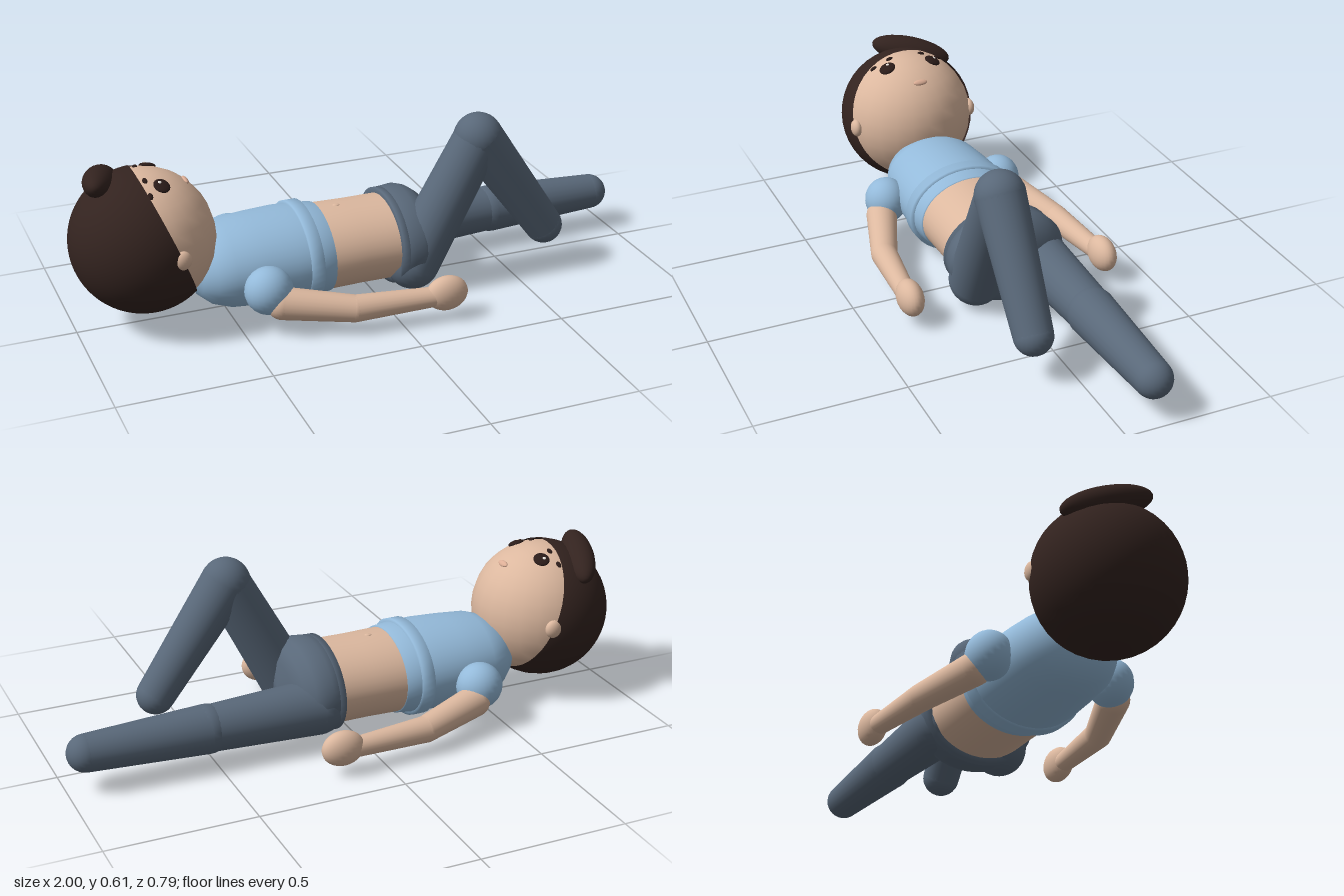
import * as THREE from 'three';

const material = (name, color) => {
  const m = new THREE.MeshStandardMaterial({ color });
  m.name = name;
  return m;
};
const UP = new THREE.Vector3(0, 1, 0);
const V = (x, y, z) => new THREE.Vector3(x, y, z);

export function createModel() {
  const skin = material('skin', 0xdcb89f);
  const shirt = material('shirt blue', 0x94bada);
  const denim = material('trouser blue', 0x596879);
  const hair = material('hair brown', 0x33231f);
  const dark = material('eye brown', 0x2b1c19);
  const lip = material('lip', 0xdcae96);
  const shine = material('eye shine', 0xf4efe8);
  const model = new THREE.Group();

  const add = (name, geometry, mat, parent = model) => {
    const mesh = new THREE.Mesh(geometry, mat);
    mesh.name = name;
    parent.add(mesh);
    return mesh;
  };
  // Ellipsoid whose local y axis can be pointed along a direction
  const blob = (name, pos, radii, mat, axis = UP, parent = model) => {
    const mesh = add(name, new THREE.SphereGeometry(1, 24, 16).scale(...radii), mat, parent);
    mesh.position.copy(pos);
    mesh.quaternion.setFromUnitVectors(UP, axis.clone().normalize());
    return mesh;
  };
  // Tapered segments with round joints, each joint being [point, radius]
  const limb = (name, joints, mat) => {
    const group = new THREE.Group();
    group.name = name;
    model.add(group);
    joints.forEach(([p, r], i) => {
      blob('joint', p, [r, r, r], mat, UP, group);
      if (!i) return;
      const [q, s] = joints[i - 1];
      const d = p.clone().sub(q);
      const seg = add('segment', new THREE.CylinderGeometry(r, s, d.length(), 24, 1, true), mat, group);
      seg.position.copy(p).add(q).multiplyScalar(0.5);
      seg.quaternion.setFromUnitVectors(UP, d.normalize());
    });
  };
  // Body section swept along x, elliptical; points are [scale, x]
  const body = (name, points, mat) => {
    const geo = new THREE.LatheGeometry(points.map(([r, x]) => new THREE.Vector2(r, x)), 40);
    geo.rotateZ(-Math.PI / 2).scale(1, 0.15, 0.19);
    add(name, geo, mat).position.y = 0.17;
  };

  // Torso and clothes
  body('shirt', [[0, -0.63], [0.3, -0.625], [0.6, -0.6], [0.82, -0.56], [0.95, -0.5],
    [1, -0.4], [1.03, -0.3], [1.01, -0.22], [0.97, -0.165], [0.9, -0.165]], shirt);
  body('shirtBand', [[0.95, -0.257], [1.08, -0.257], [1.08, -0.214], [0.95, -0.214]], shirt);
  body('waist', [[0.9, -0.19], [0.94, -0.17], [0.925, -0.05], [0.93, 0.1]], skin);
  body('hips', [[0.9, 0.07], [1.04, 0.07], [1.06, 0.11], [1.08, 0.14], [1.02, 0.17],
    [0.87, 0.2], [0.6, 0.222], [0, 0.235]], denim);
  body('waistband', [[0.9, 0.068], [1.05, 0.068], [1.05, 0.1], [0.9, 0.1]], denim);
  blob('navel', V(-0.1, 0.309, 0), [0.012, 0.004, 0.01], skin);

  // Arms and hands
  for (const s of [1, -1]) {
    blob('shoulder', V(-0.415, 0.153, s * 0.218), [0.08, 0.08, 0.075], shirt);
    limb('arm', [[V(-0.38, 0.115, s * 0.25), 0.054], [V(-0.16, 0.09, s * 0.325), 0.045],
      [V(0.12, 0.093, s * 0.352), 0.033]], skin);
    blob('hand', V(0.152, 0.1, s * 0.353), [0.073, 0.06, 0.043], skin);
  }

  // Straight leg, made of a thigh and a slightly wider shin top
  limb('straightThigh', [[V(0.14, 0.14, -0.115), 0.095], [V(0.53, 0.14, -0.12), 0.077]], denim);
  limb('straightShin', [[V(0.53, 0.14, -0.12), 0.082], [V(0.933, 0.14, -0.12), 0.062]], denim);
  // Bent leg
  limb('bentThigh', [[V(0.135, 0.105, 0.11), 0.092], [V(0.36, 0.533, 0.125), 0.08]], denim);
  limb('bentShin', [[V(0.36, 0.533, 0.125), 0.083], [V(0.618, 0.17, 0.128), 0.065]], denim);

  // Head and hair
  const centre = V(-0.763, 0.303, 0);
  const R = 0.235;
  const onFace = (x, z, out = 0) => {
    const dx = x - centre.x;
    const n = V(dx, Math.sqrt(R * R - dx * dx - z * z), z).normalize();
    return [centre.clone().addScaledVector(n, R + out), n];
  };
  blob('head', centre, [R, R, R], skin);
  const cap = add('hairCap', new THREE.SphereGeometry(0.241, 40, 28, 0, Math.PI * 2, 0, 1.86), hair);
  cap.material.side = THREE.DoubleSide;
  cap.position.copy(centre);
  cap.quaternion.setFromUnitVectors(UP, V(-0.93, -0.37, 0).normalize());
  blob('fringe', V(-0.876, 0.495, -0.066), [0.055, 0.147, 0.05], hair, V(0.08, -0.06, -0.22));

  // Face
  for (const s of [1, -1]) {
    blob('ear', V(-0.695, 0.312, s * 0.222), [0.03, 0.032, 0.02], skin);
    const [eye, normal] = onFace(-0.715, s * 0.088);
    blob('eye', eye, [0.027, 0.01, 0.03], dark, normal);
    const [spark, sparkNormal] = onFace(-0.722, s * 0.088 - 0.006, 0.009);
    blob('eyeShine', spark, [0.006, 0.003, 0.006], shine, sparkNormal);
    for (const z of [0.062, 0.125]) {
      const [brow, browNormal] = onFace(-0.762, s * z);
      blob('brow', brow, [0.008, 0.006, 0.013], dark, browNormal);
    }
  }
  const [mouth, mouthNormal] = onFace(-0.615, 0);
  blob('mouth', mouth, [0.011, 0.007, 0.026], lip, mouthNormal);

  return model;
}
